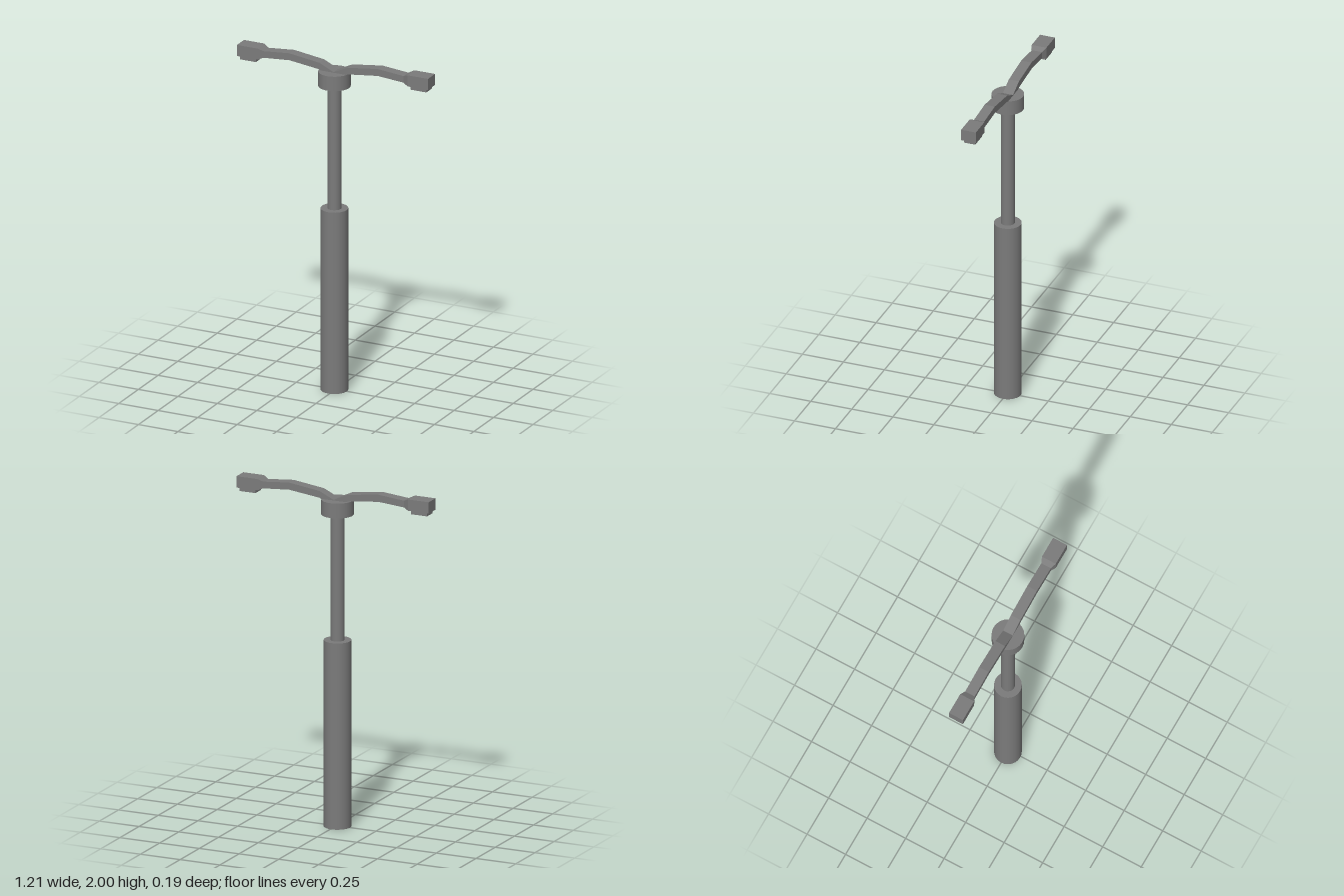
import * as THREE from 'three';

const color = 0x7b7b7b;
const material = new THREE.MeshStandardMaterial({ color });
const flatMaterial = new THREE.MeshStandardMaterial({ color, flatShading: true });

// Upright cylinder between two heights on the pole axis
function post(name, radius, y0, y1) {
  const mesh = new THREE.Mesh(new THREE.CylinderGeometry(radius, radius, y1 - y0, 24), material);
  mesh.name = name;
  mesh.position.set(-0.008, (y0 + y1) / 2, 0);
  return mesh;
}

// Rectangular loft along x; each station is [x, bottom, top, halfDepth], x ascending
function loft(stations) {
  const pos = [], index = [];
  for (const [x, b, t, d] of stations) pos.push(x, b, d, x, t, d, x, t, -d, x, b, -d);
  const quad = (a, b, c, d) => index.push(a, b, c, a, c, d);
  for (let i = 0; i < stations.length - 1; i++) {
    for (let k = 0; k < 4; k++) {
      const a = i * 4 + k, b = i * 4 + (k + 1) % 4;
      quad(a, a + 4, b + 4, b);
    }
  }
  const e = (stations.length - 1) * 4;
  quad(0, 1, 2, 3);
  quad(e + 3, e + 2, e + 1, e);
  const geo = new THREE.BufferGeometry();
  geo.setAttribute('position', new THREE.Float32BufferAttribute(pos, 3));
  geo.setIndex(index);
  const flat = geo.toNonIndexed();
  flat.computeVertexNormals();
  return flat;
}

export function createModel() {
  const model = new THREE.Group();
  model.name = 'pumpHandle';

  // Telescoping pole and its cap
  model.add(
    post('lowerTube', 0.079, 0, 1.1),
    post('upperRod', 0.04, 1.1, 1.842),
    post('cap', 0.093, 1.842, 1.93)
  );

  // Curved crossbar with wider grips at its ends
  const half = [
    [0.09, 1.935, 1.975, 0.031],
    [0.28, 1.958, 2.0, 0.031],
    [0.443, 1.945, 1.985, 0.031],
    [0.475, 1.933, 2.0, 0.045],
    [0.605, 1.933, 2.0, 0.045]
  ];
  const mirrored = half.map(([x, ...rest]) => [-x, ...rest]).reverse();
  const bar = new THREE.Mesh(loft([...mirrored, [0, 1.89, 1.933, 0.031], ...half]), flatMaterial);
  bar.name = 'crossbar';
  bar.position.z = -0.004;
  model.add(bar);

  // Small pads under the grips
  for (const side of [-1, 1]) {
    const pad = new THREE.Mesh(new THREE.BoxGeometry(0.1, 0.032, 0.07), material);
    pad.name = side > 0 ? 'leftGripPad' : 'rightGripPad';
    pad.position.set(side * 0.54, 1.928, -0.004);
    model.add(pad);
  }
  return model;
}
